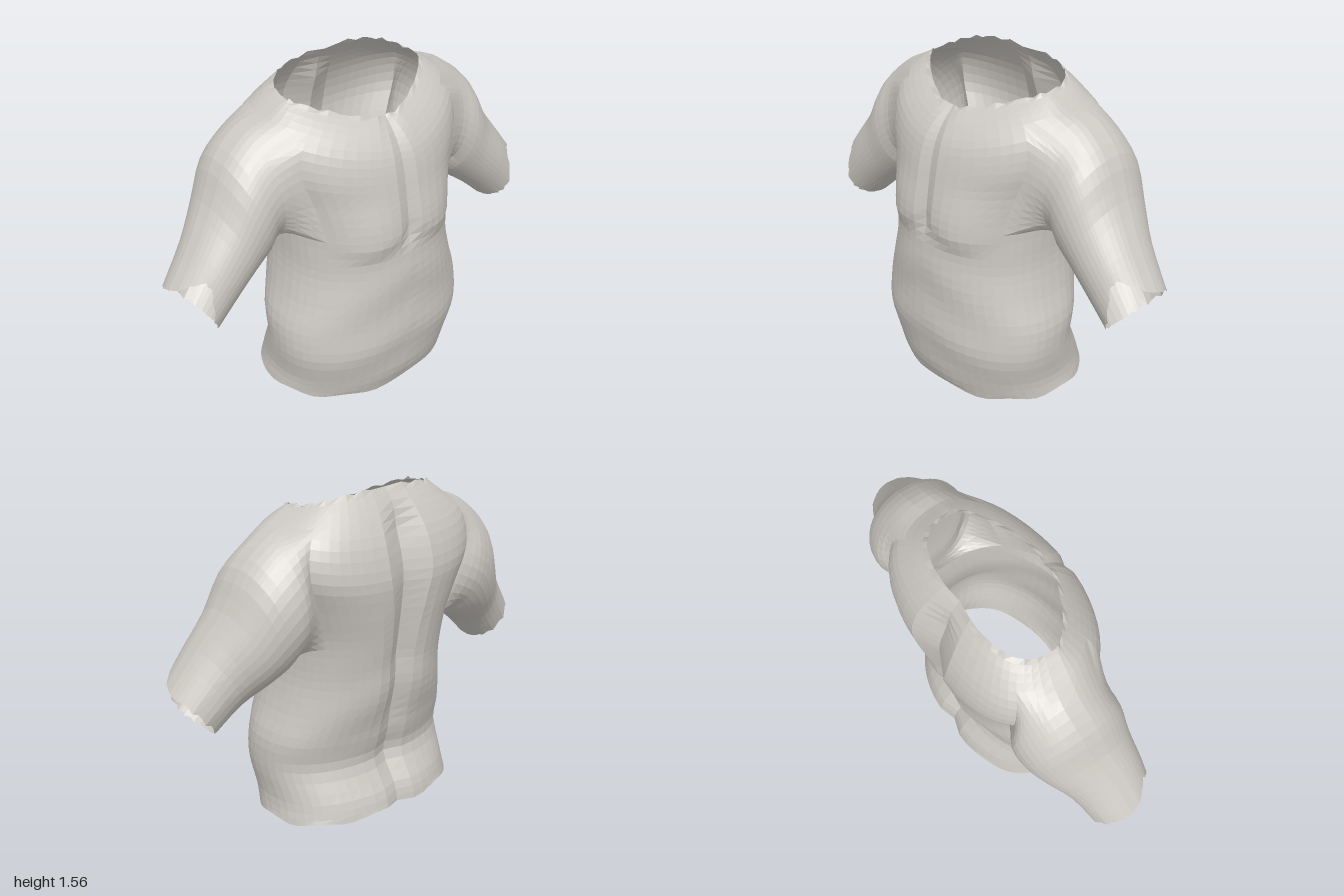
import * as THREE from 'three';

const cloth = new THREE.MeshStandardMaterial({ color: 0xcbc7c1, flatShading: true, side: THREE.DoubleSide });
cloth.name = 'pale grey cloth';

// Spline interpolation of rows of key numbers
function spread(keys, count) {
  const rows = [];
  for (let i = 0; i <= count; i++) {
    const f = (i / count) * (keys.length - 1);
    const k = Math.min(Math.floor(f), keys.length - 2), t = f - k;
    const at = (n) => keys[Math.max(0, Math.min(keys.length - 1, n))];
    rows.push(keys[0].map((_, c) => {
      const a = at(k - 1)[c], b = at(k)[c], d = at(k + 1)[c], e = at(k + 2)[c];
      return b + 0.5 * t * (d - a + t * (2 * a - 5 * b + 4 * d - e + t * (3 * (b - d) + e - a)));
    }));
  }
  return rows;
}

// Closed loops (flat xyz rows) joined by quads; skip(i, j) leaves holes
function loft(name, rows, flip = false, skip = () => false) {
  const cols = rows[0].length / 3, index = [];
  for (let i = 0; i < rows.length - 1; i++) {
    for (let j = 0; j < cols; j++) {
      if (skip(i, j)) continue;
      const n = (j + 1) % cols;
      const q = [i * cols + j, i * cols + n, (i + 1) * cols + n, (i + 1) * cols + j];
      if (flip) q.reverse();
      index.push(q[0], q[1], q[2], q[0], q[2], q[3]);
    }
  }
  const geo = new THREE.BufferGeometry();
  geo.setAttribute('position', new THREE.Float32BufferAttribute(rows.flat(), 3));
  geo.setIndex(index);
  geo.computeVertexNormals();
  const mesh = new THREE.Mesh(geo, cloth);
  mesh.name = name;
  return mesh;
}

const bump = (v, centre, width) => Math.exp(-(((v - centre) / width) ** 2));
const ease = (v, a, b) => THREE.MathUtils.smoothstep(v, a, b);

// Torso rings: front y, side y, back y, half width, front z, back z, front and back squareness
const torsoKeys = [
  [0.00, 0.04, 0.06, 0.50, 0.325, -0.36, 2.2, 2.4],
  [0.12, 0.13, 0.15, 0.49, 0.365, -0.34, 2.2, 2.4],
  [0.28, 0.28, 0.29, 0.505, 0.39, -0.265, 2.15, 2.4],
  [0.42, 0.42, 0.42, 0.50, 0.39, -0.295, 2.15, 2.4],
  [0.56, 0.56, 0.56, 0.455, 0.388, -0.33, 2.2, 2.4],
  [0.70, 0.70, 0.70, 0.425, 0.385, -0.355, 2.2, 2.4],
  [0.82, 0.82, 0.82, 0.42, 0.38, -0.365, 2.2, 2.45],
  [0.94, 0.95, 0.94, 0.43, 0.372, -0.38, 2.15, 2.55],
  [1.05, 1.10, 1.07, 0.475, 0.36, -0.395, 2.0, 2.7],
  [1.15, 1.26, 1.20, 0.53, 0.345, -0.40, 1.9, 2.9],
  [1.25, 1.39, 1.34, 0.51, 0.315, -0.365, 1.85, 3.0],
  [1.33, 1.455, 1.46, 0.43, 0.265, -0.30, 1.7, 3.0],
  [1.385, 1.495, 1.55, 0.36, 0.21, -0.23, 1.4, 3.0],
];
const COLS = 52;

function torsoRows() {
  const rings = spread(torsoKeys, 36), last = rings.length - 1;
  return rings.map(([yf, ys, yb, w, zf, zb, nf, nb], i) => {
    const row = [];
    for (let j = 0; j < COLS; j++) {
      const t = (j / COLS) * Math.PI * 2, s = Math.sin(t), c = Math.cos(t), front = c > 0;
      const p = 2 / (front ? nf : nb), zc = (zf + zb) / 2;
      const x = w * Math.sign(s) * Math.abs(s) ** p, ax = Math.abs(x);
      let y = ys + ((front ? yf : yb) - ys) * Math.abs(c) ** (front ? 2 : 1.4);
      let z = zc + ((front ? zf : zb) - zc) * Math.abs(c) ** p;
      if (front) {
        // Chest with a curved lower edge and a centre crease
        const low = y - 2 * (ax - 0.2) ** 2;
        z += 0.026 * c * bump(ax, 0.2, 0.17) * ease(low, 0.77, 0.87) * (1 - ease(y, 0.9, 1.15));
        z -= 0.02 * bump(x, 0, 0.03) * ease(y, 0.78, 0.9);
      } else {
        // Spine groove
        z += (0.035 + 0.025 * ease(y, 0.3, 0.8)) * bump(x, 0, 0.06) * (1 - 0.8 * ease(y, 1.35, 1.52));
      }
      // Soft uneven folds
      z += 0.004 * c * Math.sin(y * 21 + ax * 7) * (1 - ease(y, 0.7, 0.9));
      // Ragged neckline and hem
      if (i === last) y += 0.007 * Math.sin(j * 2.4);
      if (i === 0) y += 0.008 * Math.sin(j * 1.1);
      row.push(x, y, z);
    }
    return row;
  });
}

// Armhole: a block of torso rows and columns, mirrored across x
const hole = { bottom: 20, top: 32, front: 8, back: 18 };
const inHole = (i, j) => i >= hole.bottom && i < hole.top &&
  [j, COLS - 1 - j].some((k) => k >= hole.front && k < hole.back);

// Armhole edge on the +x side, from top back to the front and around below
function armholeEdge(rows) {
  const { bottom, top, front, back } = hole, edge = [];
  const add = (i, j) => edge.push(rows[i].slice(j * 3, j * 3 + 3));
  for (let j = back; j > front; j--) add(top, j);
  for (let i = top; i > bottom; i--) add(i, front);
  for (let j = front; j < back; j++) add(bottom, j);
  for (let i = bottom; i < top; i++) add(i, back);
  return edge;
}

// Sleeve rings: upper x, y, lower x, y, middle z, half depth
const sleeveKeys = [
  [0.56, 1.40, 0.47, 0.86, -0.085, 0.24],
  [0.68, 1.295, 0.53, 0.81, -0.075, 0.24],
  [0.765, 1.13, 0.61, 0.76, -0.055, 0.215],
  [0.87, 0.98, 0.71, 0.69, -0.02, 0.18],
  [1.0, 0.81, 0.82, 0.59, 0.0, 0.155],
];

function makeSleeve(name, side, edge) {
  // Each edge point keeps its angle around the arm down to the cuff
  const angles = edge.map(([, y, z]) => Math.atan2((z + 0.07) / 0.23, (y - 1.17) / 0.27));
  const rings = sleeveKeys.map(([ux, uy, lx, ly, zc, rz], k) => angles.flatMap((t, j) => {
    const h = Math.cos(t) / 2, s = Math.sin(t);
    // Cuff swept back at the upper front, with a ragged rim
    const cuff = k === sleeveKeys.length - 1;
    const pull = cuff ? 0.11 * bump(t, 0.9, 0.6) + 0.008 * Math.sin(j * 2.1) * Math.abs(s) : 0;
    return [
      (ux + lx) / 2 + (ux - lx) * h - 0.75 * pull,
      (uy + ly) / 2 + (uy - ly) * h + 0.9 * pull,
      zc + rz * s,
    ];
  }));
  const rows = spread([edge.flat(), ...rings], 15)
    .map((row) => row.map((v, n) => (n % 3 === 0 ? side * v : v)));
  return loft(name, rows, side < 0);
}

export function createModel() {
  const model = new THREE.Group();
  model.name = 'shirt';
  const rows = torsoRows(), edge = armholeEdge(rows);
  model.add(
    loft('torso', rows, false, inHole),
    makeSleeve('leftSleeve', 1, edge),
    makeSleeve('rightSleeve', -1, edge),
  );
  return model;
}
